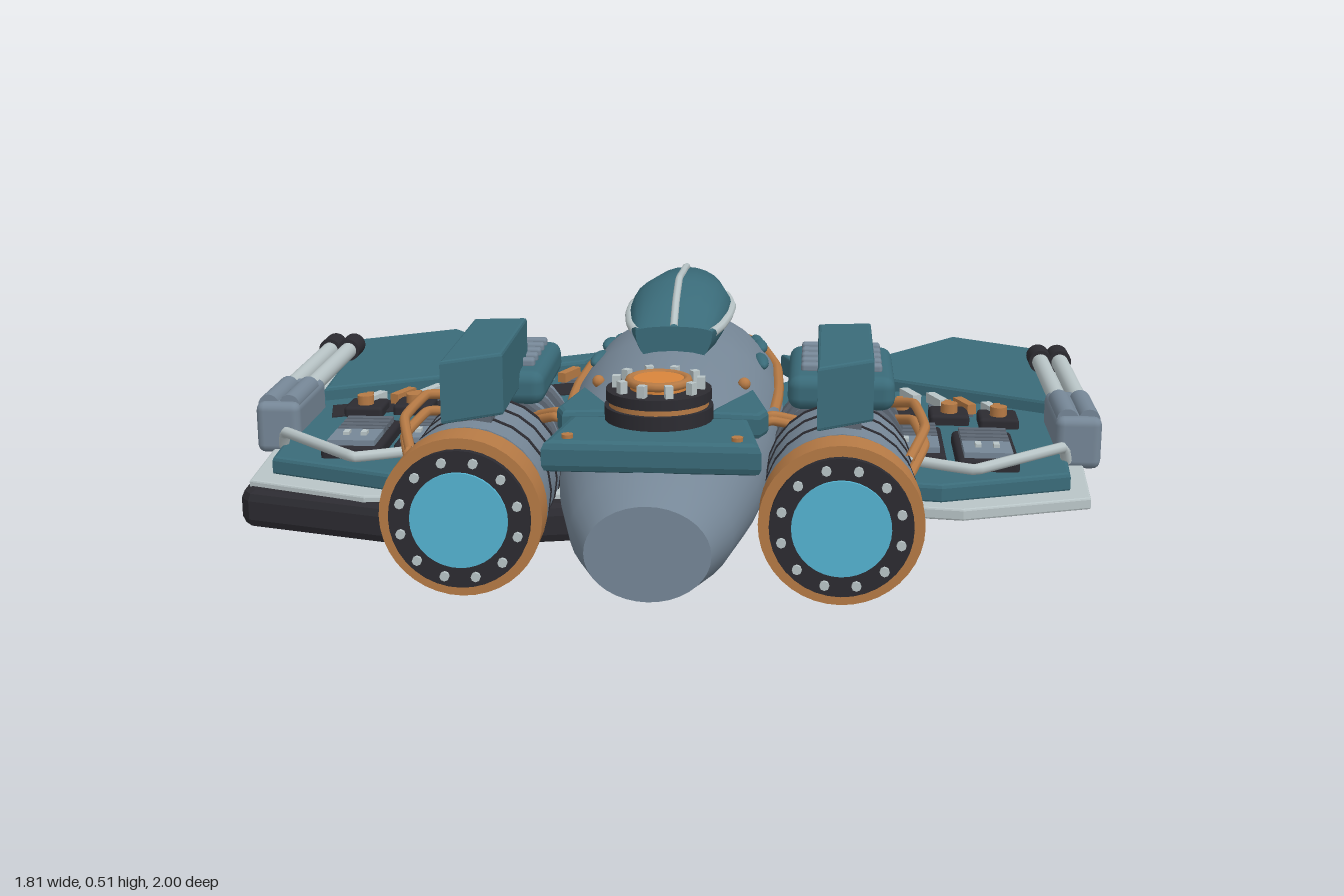
import * as THREE from 'three';
import { RoundedBoxGeometry } from 'three/addons/geometries/RoundedBoxGeometry.js';

const paint = (name, color) => Object.assign(new THREE.MeshStandardMaterial({ color }), { name });
const hullGrey = paint('hull grey', 0x768797);
const teal = paint('teal', 0x3a6b79);
const dark = paint('near black', 0x2c2b31);
const light = paint('light grey', 0xb9c5c7);
const copper = paint('copper', 0xb67a45);
const cyan = paint('engine cyan', 0x55b4d2);
const gunmetal = paint('gunmetal', 0x5d6773);
const orange = paint('warm orange', 0xd9853b);

const V = (x, y, z) => new THREE.Vector3(x, y, z);

// Hull stations: z, half width, bottom y, top y
const stations = [
  [-1, 0.006, 0.07, 0.085], [-0.97, 0.017, 0.066, 0.1], [-0.6, 0.122, 0.035, 0.22], [-0.45, 0.145, 0.028, 0.27],
  [-0.2, 0.187, 0.018, 0.345], [0.05, 0.22, 0.008, 0.395], [0.28, 0.23, 0.004, 0.4], [0.55, 0.215, 0.035, 0.365],
  [0.75, 0.19, 0.05, 0.34], [0.92, 0.15, 0.062, 0.29], [1, 0.115, 0.075, 0.255],
];

// Point on the hull skin at a given z and angle around it
function hullPoint(z, a, lift = 0) {
  let i = 0;
  while (i < stations.length - 2 && z > stations[i + 1][0]) i++;
  const s = stations[i], e = stations[i + 1], t = (z - s[0]) / (e[0] - s[0]);
  const [w, lo, hi] = [1, 2, 3].map((k) => s[k] + (e[k] - s[k]) * t);
  return V(Math.cos(a) * (w + lift), (lo + hi) / 2 + Math.sin(a) * ((hi - lo) / 2 + lift), z);
}

// Skin through closed rings running along +z, with flat end caps
function loft(rings) {
  const n = rings[0].length, pos = [], idx = [];
  rings.forEach((r) => r.forEach((p) => pos.push(p.x, p.y, p.z)));
  for (let i = 0; i < rings.length - 1; i++) for (let j = 0; j < n; j++) {
    const k = (j + 1) % n, a = i * n + j, b = i * n + k;
    idx.push(a, b, b + n, a, b + n, a + n);
  }
  [rings[0], rings[rings.length - 1]].forEach((r, end) => {
    const base = pos.length / 3, c = V(0, 0, 0);
    r.forEach((p) => { pos.push(p.x, p.y, p.z); c.addScaledVector(p, 1 / n); });
    pos.push(c.x, c.y, c.z);
    for (let j = 0; j < n; j++) {
      const k = (j + 1) % n;
      idx.push(base + n, base + (end ? j : k), base + (end ? k : j));
    }
  });
  const g = new THREE.BufferGeometry();
  g.setAttribute('position', new THREE.Float32BufferAttribute(pos, 3));
  g.setIndex(idx);
  g.computeVertexNormals();
  return g;
}

export function createModel() {
  const root = new THREE.Group();
  root.name = 'starfighter';

  const add = (name, geo, mat, x = 0, y = 0, z = 0) => {
    const m = new THREE.Mesh(geo, mat);
    m.name = name;
    m.position.set(x, y, z);
    root.add(m);
    return m;
  };
  const box = (name, mat, w, h, d, x, y, z) => add(name, new THREE.BoxGeometry(w, h, d), mat, x, y, z);
  const rbox = (name, mat, w, h, d, x, y, z, r = 0.015) => add(name, new RoundedBoxGeometry(w, h, d, 2, r), mat, x, y, z);
  const rod = (name, mat, r, len, x, y, z, r2 = r, seg = 24) =>
    add(name, new THREE.CylinderGeometry(r, r2, len, seg).rotateX(Math.PI / 2), mat, x, y, z);
  const tube = (name, mat, r, pts, tension = 0.2) =>
    add(name, new THREE.TubeGeometry(new THREE.CatmullRomCurve3(pts, false, 'catmullrom', tension), 32, r, 8), mat);
  // Flat plate from an (x, z) outline, hanging down from its top height
  const plate = (name, mat, pts, top, thick, bevel = 0.004) => {
    const geo = new THREE.ExtrudeGeometry(new THREE.Shape(pts.map((p) => new THREE.Vector2(...p))), {
      depth: thick - 2 * bevel, bevelSize: bevel, bevelThickness: bevel, bevelOffset: -bevel, bevelSegments: 2,
    });
    return add(name, geo.rotateX(Math.PI / 2), mat, 0, top - bevel, 0);
  };

  // Fuselage
  const N = 36;
  add('fuselage', loft(stations.map((s) =>
    Array.from({ length: N }, (_, j) => hullPoint(s[0], (j / N) * Math.PI * 2)))), hullGrey);

  // Canopy: z, half width, base y, top y
  const glass = [[-0.23, 0.008, 0.352, 0.362], [-0.03, 0.085, 0.425, 0.488], [0.12, 0.108, 0.432, 0.503],
    [0.22, 0.106, 0.432, 0.51], [0.31, 0.095, 0.43, 0.48], [0.37, 0.08, 0.428, 0.44]];
  add('canopy', loft(glass.map(([z, w, b, t]) => Array.from({ length: 24 }, (_, j) => {
    const a = (j / 24) * Math.PI * 2, s = Math.sin(a);
    return V(Math.cos(a) * w, b + s * (s > 0 ? t - b : 0.08), z);
  }))), teal);
  tube('canopySpine', light, 0.008, glass.map(([z, , , t]) => V(0, t, z)));
  for (const s of [1, -1]) tube('canopyFrame', light, 0.01, glass.map(([z, w, b]) => V(s * w, b, z)));

  // Tail deck and top turret
  plate('tailDeck', teal, [[-0.17, 0.73], [0.17, 0.73], [0.2, 0.92], [-0.2, 0.92]], 0.348, 0.06, 0.015);
  const drum = (name, mat, r, h, y) => add(name, new THREE.CylinderGeometry(r, r, h, 28), mat, 0, y, 0.74);
  drum('turretBase', dark, 0.103, 0.03, 0.36);
  drum('turretBand', copper, 0.095, 0.014, 0.38);
  drum('turretDrum', dark, 0.1, 0.02, 0.396);
  drum('turretCap', orange, 0.055, 0.03, 0.41);
  add('turretCapRing', new THREE.TorusGeometry(0.055, 0.009, 8, 24).rotateX(Math.PI / 2), copper, 0, 0.42, 0.74);
  for (let i = 0; i < 10; i++) {
    const a = (i / 10) * Math.PI * 2;
    box('turretStud', light, 0.015, 0.026, 0.015, Math.cos(a) * 0.08, 0.416, 0.74 + Math.sin(a) * 0.08).rotation.y = -a;
  }

  const wing = [[0.14, -0.1], [0.24, -0.2], [0.65, -0.662], [0.9, -0.525], [0.832, 0.625], [0.58, 0.715], [0.14, 0.66]];
  const wingTop = [[0.16, -0.04], [0.25, -0.14], [0.64, -0.605], [0.862, -0.47], [0.797, 0.58], [0.54, 0.675], [0.16, 0.62]];
  const keel = [[0.14, -0.1], [0.2, -0.2], [0.625, -0.7], [0.66, -0.7], [0.905, -0.56], [0.907, -0.53], [0.845, 0.64],
    [0.825, 0.665], [0.45, 0.77], [0.14, 0.7]];

  for (const s of [1, -1]) {
    const side = (pts) => pts.map(([x, z]) => [s * x, z]);

    // Wing layers; the right one rides on a thick dark keel
    if (s < 0) {
      plate('wingKeel', dark, side(keel), 0.158, 0.078, 0.02);
      plate('wingRecess', dark, side([[0.26, -0.05], [0.77, 0.19], [0.75, 0.28], [0.26, 0.05]]), 0.209, 0.008, 0.001);
    }
    plate('wingPlate', light, side(wing), 0.17, 0.024);
    plate('wingPanel', teal, side(wingTop), 0.205, 0.04, 0.008);
    plate('wingSpar', teal, side([[0.21, -0.255], [0.8, 0.09], [0.8, 0.14], [0.25, -0.155]]), 0.235, 0.05, 0.008);

    // Rods, sockets and equipment bays on the wing
    for (let i = 0; i < 8; i++) {
      const t = i / 7;
      const m = box('wingRod', i % 3 ? light : copper, 0.02, 0.022, 0.07, s * (0.275 + 0.4 * t), 0.226, -0.055 + 0.25 * t);
      m.rotation.y = s * 0.4;
      box('rodMount', gunmetal, 0.036, 0.014, 0.03, s * (0.275 + 0.4 * t), 0.21, -0.055 + 0.25 * t);
    }
    for (let i = 0; i < 4; i++) {
      const x = s * (0.375 + 0.103 * i), z = 0.165 + 0.021 * i;
      rbox('socket', dark, 0.084, 0.03, 0.084, x, 0.212, z, 0.008);
      add('socketKnob', new THREE.CylinderGeometry(0.018, 0.018, 0.022, 12), copper, x, 0.236, z + 0.01);
      box('socketLever', copper, 0.014, 0.014, 0.05, x, 0.234, z - 0.015);
    }
    for (const [x, z] of [[0.637, 0.475], [0.495, 0.445]]) {
      rbox('equipmentBay', dark, 0.122, 0.035, 0.215, s * x, 0.212, z, 0.01);
      for (let i = 0; i < 4; i++) box('baySlat', gunmetal, 0.096, 0.014, 0.016, s * x, 0.234, z - 0.08 + i * 0.026);
      box('bayPanel', hullGrey, 0.096, 0.016, 0.085, s * x, 0.233, z + 0.054);
      for (const d of [-0.018, 0.018]) box('bayKey', light, 0.012, 0.008, 0.022, s * x + d, 0.244, z + 0.05);
    }
    tube('wingBrace', light, 0.011, [V(s * 0.8, 0.2, 0.48), V(s * 0.79, 0.235, 0.5), V(s * 0.6, 0.245, 0.7), V(s * 0.46, 0.25, 0.65)], 0.05);

    // Wing tip twin cannon
    rbox('cannonHousing', hullGrey, 0.095, 0.11, 0.23, s * 0.833, 0.215, 0.295, 0.018);
    for (const d of [-0.022, 0.022]) {
      const x = s * 0.833 + d;
      rod('cannonBarrel', light, 0.019, 0.36, x, 0.256, 0.04);
      rod('cannonMuzzle', dark, 0.026, 0.065, x, 0.257, -0.16);
      rod('muzzleBore', copper, 0.017, 0.006, x, 0.257, -0.193);
      rod('cannonRear', hullGrey, 0.022, 0.16, x, 0.262, 0.31);
    }

    // Engine nacelle
    const ex = s * 0.345, ey = 0.21;
    rod('engineFront', hullGrey, 0.128, 0.32, ex, ey, 0.48, 0.12);
    rod('engineRear', hullGrey, 0.142, 0.25, ex, ey, 0.755);
    for (const z of [0.4, 0.48, 0.56]) rod('engineBand', gunmetal, 0.134, 0.03, ex, ey, z);
    for (const z of [0.635, 0.7, 0.78]) rod('engineSeam', dark, 0.144, 0.01, ex, ey, z);
    rod('engineCollar', hullGrey, 0.146, 0.04, ex, ey, 0.84);
    rod('engineRim', copper, 0.15, 0.07, ex, ey, 0.915, 0.15, 40);
    rod('nozzleRing', dark, 0.13, 0.022, ex, ey, 0.952, 0.13, 36);
    rod('engineGlow', cyan, 0.09, 0.008, ex, ey, 0.965, 0.09, 36);
    for (let i = 0; i < 12; i++) {
      const a = ((i + 0.5) / 12) * Math.PI * 2;
      rod('nozzleStud', light, 0.009, 0.01, ex + Math.cos(a) * 0.111, ey + Math.sin(a) * 0.111, 0.965, 0.009, 8);
    }

    // Louvred pod and offset fin above the engine
    rbox('enginePod', teal, 0.21, 0.07, 0.29, ex, 0.36, 0.455, 0.025);
    for (let i = 0; i < 5; i++) rbox('podLouvre', hullGrey, 0.16, 0.02, 0.022, ex, 0.4, 0.36 + i * 0.044, 0.007);
    const fx = s > 0 ? 0.35 : -0.34;
    plate('engineFin', teal, [[fx - 0.052, 0.5], [fx + 0.052, 0.485], [fx + 0.052, 0.79], [fx - 0.052, 0.865]], 0.48, 0.12, 0.006);
    box('finFoot', gunmetal, 0.06, 0.04, 0.2, fx, 0.35, 0.7);

    // Copper plumbing beside the engine
    for (const d of [0, 0.035]) {
      tube('enginePipe', copper, 0.01, [V(s * (0.44 + d / 2), 0.31 - d, 0.46), V(s * 0.49, 0.325 - d, 0.52),
        V(s * 0.505, 0.315 - d, 0.66), V(s * 0.47, 0.285 - d, 0.78)]);
    }
    for (const z of [0.61, 0.65]) tube('deckPipe', copper, 0.009, [V(s * 0.17, 0.3, z), V(s * 0.21, 0.32, z), V(s * 0.26, 0.3, z - 0.04)]);

    // Copper trim, vents and rear shoulder plates laid on the hull
    const at = (z, a, lift) => { const p = hullPoint(z, a, lift); p.x *= s; return p; };
    tube('hullTrim', copper, 0.012, Array.from({ length: 11 }, (_, i) =>
      at(-0.49 + i * 0.09, 0.72 - Math.min(i, 6) * 0.055, 0.004)));
    for (const [z, len] of [[-0.09, 0.05], [0.03, 0.04], [0.19, 0.055]]) {
      const vent = add('hullVent', new THREE.SphereGeometry(1, 14, 8), teal);
      vent.position.copy(at(z, 0.68, 0));
      vent.scale.set(0.016, 0.014, len);
      vent.rotation.y = s * 0.12;
    }
    for (const z of [0.44, 0.67]) add('hullBolt', new THREE.SphereGeometry(0.013, 10, 8), copper).position.copy(at(z, 0.85, 0.005));
    const shoulder = [[0.17, 0.5], [0.205, 0.66], [0.19, 0.7], [0.09, 0.69], [0.1, 0.65]];
    plate('shoulderPlate', teal, side(shoulder), 0.345, 0.05, 0.01);
    add('deckBolt', new THREE.CylinderGeometry(0.011, 0.011, 0.01, 10), copper, s * 0.155, 0.35, 0.89);
  }
  return root;
}
